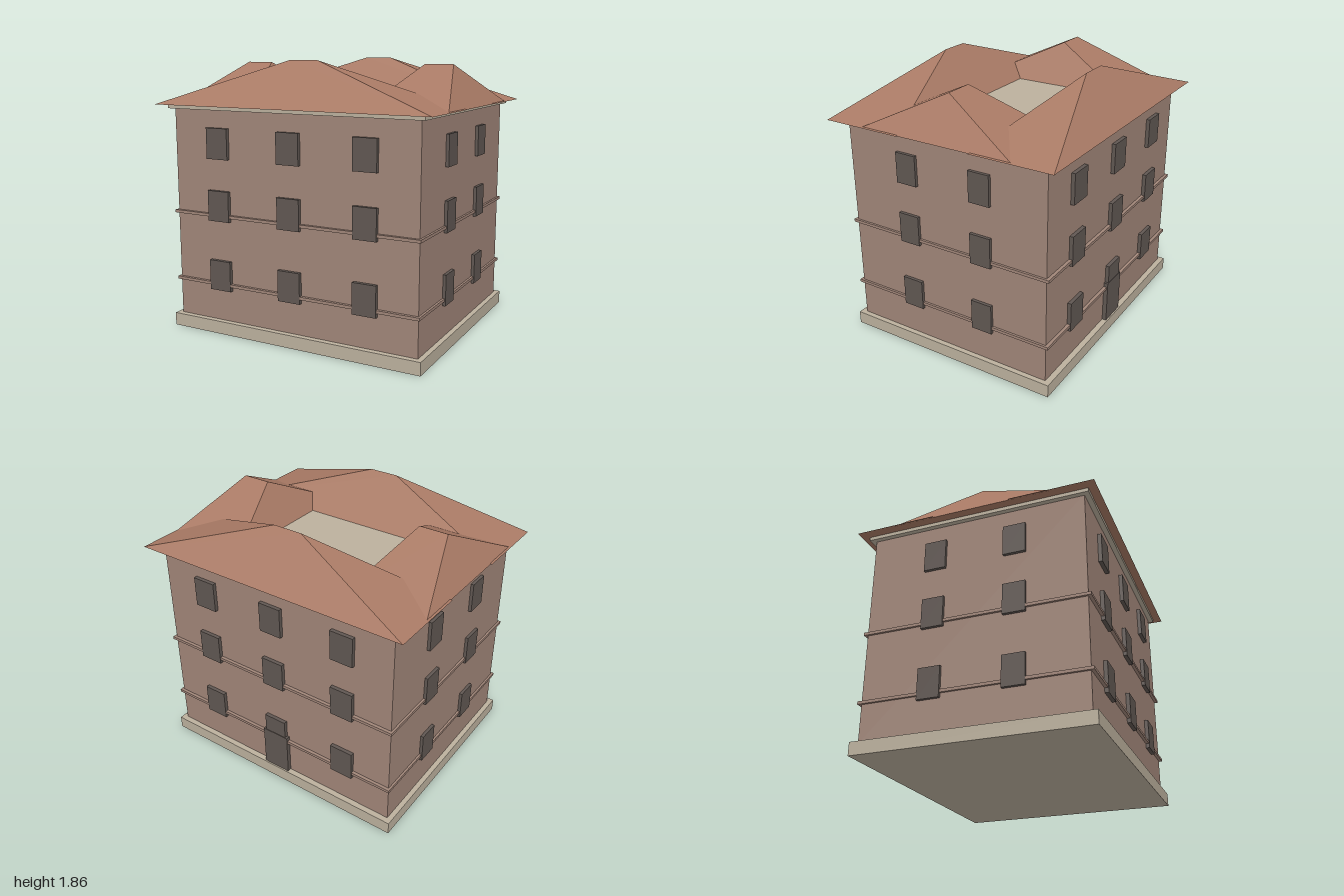
import * as THREE from 'three';
import { ConvexGeometry } from 'three/addons/geometries/ConvexGeometry.js';

const material = (name, color) => {
  const m = new THREE.MeshStandardMaterial({ color });
  m.name = name;
  return m;
};

export function createModel() {
  const wall = material('plaster brown', 0xa08578);
  const stone = material('pale stone', 0xbbb09d);
  const tile = material('roof terracotta', 0xa97a65);
  const dark = material('window grey', 0x605752);
  const model = new THREE.Group();
  model.name = 'house';

  const add = (name, geometry, mat, x, y, z) => {
    const mesh = new THREE.Mesh(geometry, mat);
    mesh.name = name;
    mesh.position.set(x, y, z);
    model.add(mesh);
  };
  // Box given its bottom height and top height
  const block = (name, mat, w, y0, y1, d, x = 0, z = 0) =>
    add(name, new THREE.BoxGeometry(w, y1 - y0, d), mat, x, (y0 + y1) / 2, z);

  // Body: plinth, walls and cornice slab
  block('plinth', stone, 1.87, 0, 0.088, 1.56);
  block('walls', wall, 1.8, 0.08, 1.54, 1.48);
  block('cornice', stone, 1.866, 1.53, 1.555, 1.55);

  // String courses around the walls
  for (const y of [0.336, 0.812]) block('stringCourse', wall, 1.83, y, y + 0.02, 1.524);

  // Three storeys of windows on all four sides
  for (const y of [0.305, 0.785, 1.205]) {
    for (const side of [-1, 1]) {
      for (const x of [-0.545, 0, 0.545])
        block('window', dark, 0.165, y, y + 0.207, 0.045, x, side * 0.7435);
      for (const z of [-0.275, 0.275])
        block('sideWindow', dark, 0.045, y, y + 0.207, 0.15, side * 0.8985, z);
    }
  }

  // Back door
  block('backDoor', dark, 0.2, 0.08, 0.385, 0.05, 0, -0.745);

  // Hipped roof with a short ridge along x
  const hip = (halfX, halfZ, height) => {
    const points = [];
    for (const sx of [-1, 1]) {
      for (const sz of [-1, 1]) points.push(new THREE.Vector3(sx * halfX, 0, sz * halfZ));
      points.push(new THREE.Vector3(sx * 0.1, height, 0));
    }
    return new ConvexGeometry(points);
  };
  // Four roof wings around the open flat deck
  for (const side of [-1, 1]) {
    add('longRoof', hip(1, 0.283, 0.298), tile, 0, 1.557, side * 0.548);
    add('sideRoof', hip(0.284, 0.557, 0.27), tile, side * 0.706, 1.556, 0);
  }
  return model;
}
